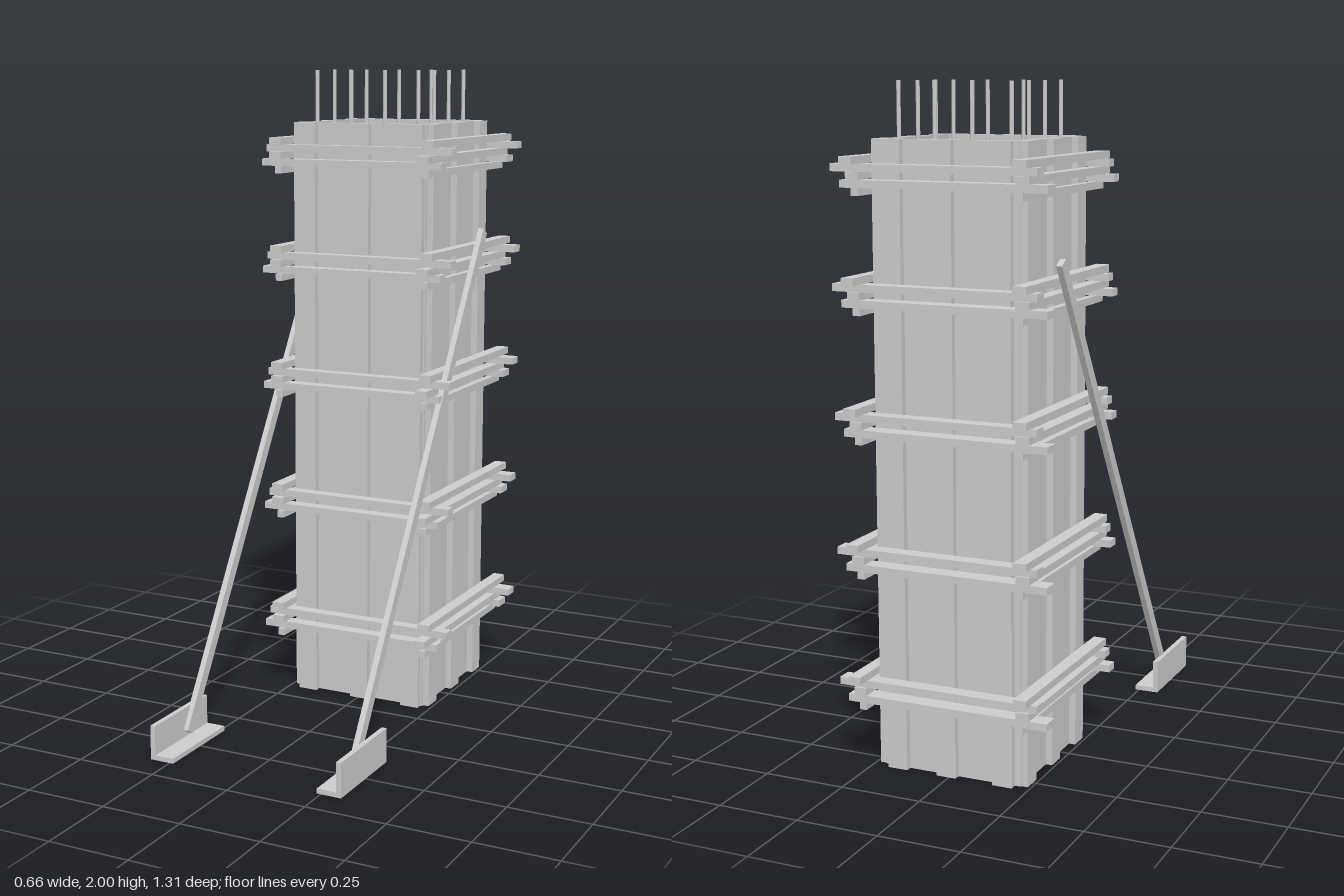
import * as THREE from 'three';

const material = new THREE.MeshStandardMaterial({ color: 0xcccccc, flatShading: true });

export function createModel() {
  const model = new THREE.Group();

  // Box given by its lower and upper corners
  function box(name, [x0, y0, z0], [x1, y1, z1], parent = model) {
    const mesh = new THREE.Mesh(new THREE.BoxGeometry(x1 - x0, y1 - y0, z1 - z0), material);
    mesh.position.set((x0 + x1) / 2, (y0 + y1) / 2, (z0 + z1) / 2);
    mesh.name = name;
    parent.add(mesh);
    return mesh;
  }

  const top = 1.84;

  // Concrete core, set below the rim of the formwork
  box('concreteCore', [-0.2, 0, -0.525], [0.198, 1.71, -0.123]);

  // Sheathing panels
  box('frontPanel', [-0.22, 0, -0.125], [0.218, top, -0.105]);
  box('backPanel', [-0.2, 0, -0.543], [0.198, top, -0.523]);
  box('rightPanel', [-0.22, 0, -0.54], [-0.2, top, -0.125]);
  box('leftPanel', [0.198, 0, -0.54], [0.218, top, -0.125]);

  // Upright battens, three on each face
  for (const x of [-0.182, 0.003, 0.182]) {
    box('frontBatten', [x - 0.031, 0, -0.105], [x + 0.031, top, -0.084]);
  }
  for (const x of [-0.17, 0.009, 0.167]) {
    box('backBatten', [x - 0.031, 0, -0.563], [x + 0.031, top, -0.543]);
  }
  for (const z of [-0.505, -0.325, -0.145]) {
    box('rightBatten', [-0.24, 0, z - 0.031], [-0.22, top, z + 0.031]);
    box('leftBatten', [0.218, 0, z - 0.031], [0.238, top, z + 0.031]);
  }

  // Clamp frames: side bars and cross bars stacked alternately
  const h = 0.022;
  for (const y of [1.685, 1.35, 0.98, 0.585, 0.19]) {
    const frame = new THREE.Group();
    frame.name = 'clampFrame';
    frame.position.y = y;
    model.add(frame);
    const sideBar = (row, x0, x1, z0, z1) =>
      box('sideBar', [x0, row * h, z0], [x1, (row + 1) * h, z1], frame);
    const crossBar = (row, z0, z1, x0, x1) =>
      box('crossBar', [x0, row * h, z0], [x1, (row + 1) * h, z1], frame);
    sideBar(4, 0.238, 0.276, -0.655, -0.022);
    sideBar(2, 0.238, 0.276, -0.62, 0.009);
    sideBar(0, 0.238, 0.26, -0.618, -0.03);
    sideBar(4, -0.28, -0.24, -0.64, -0.026);
    sideBar(2, -0.28, -0.24, -0.62, -0.026);
    sideBar(0, -0.262, -0.24, -0.618, -0.03);
    crossBar(3, -0.084, -0.046, -0.3, 0.328);
    crossBar(1, -0.084, -0.042, -0.314, 0.295);
    crossBar(3, -0.612, -0.565, -0.3, 0.328);
    crossBar(1, -0.62, -0.565, -0.335, 0.295);
  }

  // Reinforcing bars around the edge of the core
  const barX = [-0.175, -0.057, 0.058, 0.17];
  const barZ = [-0.497, -0.38, -0.267, -0.15];
  const barGeometry = new THREE.CylinderGeometry(0.006, 0.006, 0.4, 10);
  barX.forEach((x, i) => barZ.forEach((z, j) => {
    if (i % 3 && j % 3) return;
    const bar = new THREE.Mesh(barGeometry, material);
    bar.name = 'reinforcingBar';
    bar.position.set(x, 1.8, z);
    model.add(bar);
  }));

  // Slanted braces standing on angle-shaped feet
  const braces = [
    { side: 1, x: 0.289, from: [0.03, 0.535], to: [1.5, -0.387] },
    { side: -1, x: -0.293, from: [0.03, 0.483], to: [1.505, -0.428] },
  ];
  for (const { side, x, from, to } of braces) {
    const dy = to[0] - from[0], dz = to[1] - from[1];
    const brace = new THREE.Mesh(new THREE.BoxGeometry(0.018, Math.hypot(dy, dz), 0.034), material);
    brace.name = 'brace';
    brace.position.set(x, (from[0] + to[0]) / 2, (from[1] + to[1]) / 2);
    brace.rotation.x = Math.atan2(dz, dy);
    model.add(brace);

    const foot = new THREE.Group();
    foot.name = 'braceFoot';
    model.add(foot);
    const span = (a, b) => (side > 0 ? [a, b] : [-b, -a]);
    const [b0, b1] = span(0.238, 0.315), [p0, p1] = span(0.299, 0.315);
    box('footBase', [b0, 0, 0.36], [b1, 0.015, 0.655], foot);
    box('footPlate', [p0, 0.015, 0.36], [p1, 0.105, 0.655], foot);
  }

  return model;
}
